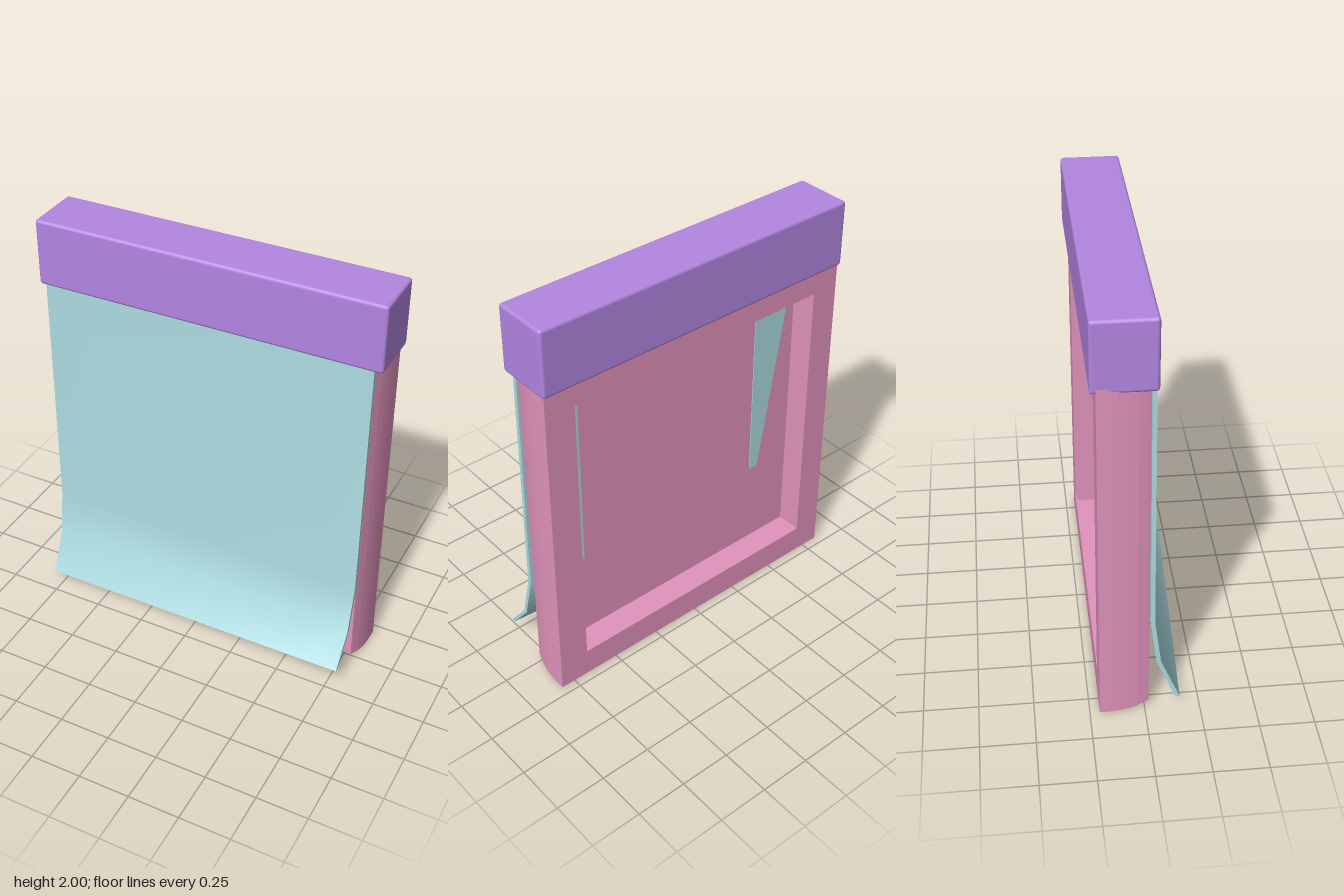
import * as THREE from 'three';
import { RoundedBoxGeometry } from 'three/addons/geometries/RoundedBoxGeometry.js';

const mat = (color) => new THREE.MeshStandardMaterial({ color });

// Rectangle outline from corner to corner
function rect(x0, y0, x1, y1, Type = THREE.Shape) {
  const s = new Type();
  s.moveTo(x0, y0);
  s.lineTo(x1, y0);
  s.lineTo(x1, y1);
  s.lineTo(x0, y1);
  s.closePath();
  return s;
}

// Slice of the tray between two depths, with an optional opening;
// the outer sides curve inwards towards the front
function slice(z0, z1, steps, opening) {
  const shape = rect(-0.84, 0, 0.82, 1.7);
  if (opening) shape.holes.push(rect(...opening, THREE.Path));
  const g = new THREE.ExtrudeGeometry(shape, { depth: z1 - z0, steps, bevelEnabled: false });
  g.translate(0, 0, z0);
  const p = g.attributes.position;
  for (let i = 0; i < p.count; i++) {
    const inset = 0.03 * Math.max(0, (p.getZ(i) + 0.205) / 0.225) ** 3;
    const x = p.getX(i);
    if (x < -0.83) p.setX(i, x + inset);
    if (x > 0.81) p.setX(i, x - inset);
    if (p.getY(i) < 0.01) p.setY(i, inset);
  }
  g.computeVertexNormals();
  return g;
}

export function createModel() {
  const group = new THREE.Group();
  const add = (name, geometry, material) => {
    const mesh = new THREE.Mesh(geometry, material);
    mesh.name = name;
    group.add(mesh);
    return mesh;
  };
  const pink = mat(0xe294bd);
  const teal = mat(0xaddce1);
  const purple = mat(0xb386e2);

  // Hollow tray: thin back lip around the window, wider cavity walls, front panel
  add('backLip', slice(-0.205, -0.197, 1, [-0.7, 0.14, 0.67, 1.56]), pink);
  add('trayWalls', slice(-0.197, 0.008, 5, [-0.79, 0.034, 0.77, 1.69]), pink);
  add('frontPanel', slice(0.008, 0.02, 1), pink);

  // Tapered strips of the page back that show inside the cavity
  for (const side of [-1, 1]) {
    const outer = side * 0.78 - 0.01;
    const inner = side * 0.525 - 0.015;
    const strip = new THREE.Shape([
      new THREE.Vector2(inner, 0.49), new THREE.Vector2(inner + side * 0.05, 0.49),
      new THREE.Vector2(outer, 1.69), new THREE.Vector2(inner, 1.69),
    ]);
    add('pageBackStrip', new THREE.ExtrudeGeometry(strip, { depth: 0.006, bevelEnabled: false }), teal)
      .position.z = 0.004;
  }

  // Page: flat at the top, curling forward at the bottom, more so at +x
  const rows = [ // y and z at the -x edge, then at the +x edge
    [1.75, 0.032, 1.75, 0.032],
    [0.48, 0.036, 0.48, 0.046],
    [0.25, 0.065, 0.25, 0.103],
    [0.034, 0.153, 0.102, 0.22],
  ];
  const page = new THREE.BoxGeometry(1.605, 3, 0.02, 8, 3, 1);
  const pos = page.attributes.position;
  for (let i = 0; i < pos.count; i++) {
    const r = rows[Math.round(1.5 - pos.getY(i))];
    const t = pos.getX(i) / 1.605 + 0.5;
    pos.setXYZ(i, pos.getX(i) - 0.005,
      THREE.MathUtils.lerp(r[0], r[2], t),
      THREE.MathUtils.lerp(r[1], r[3], t) + pos.getZ(i));
  }
  page.computeVertexNormals();
  add('page', page, teal);

  // Binding strip along the top
  const binding = add('bindingStrip', new RoundedBoxGeometry(1.677, 0.324, 0.28, 2, 0.015), purple);
  binding.position.set(-0.001, 1.838, -0.09);

  return group;
}
